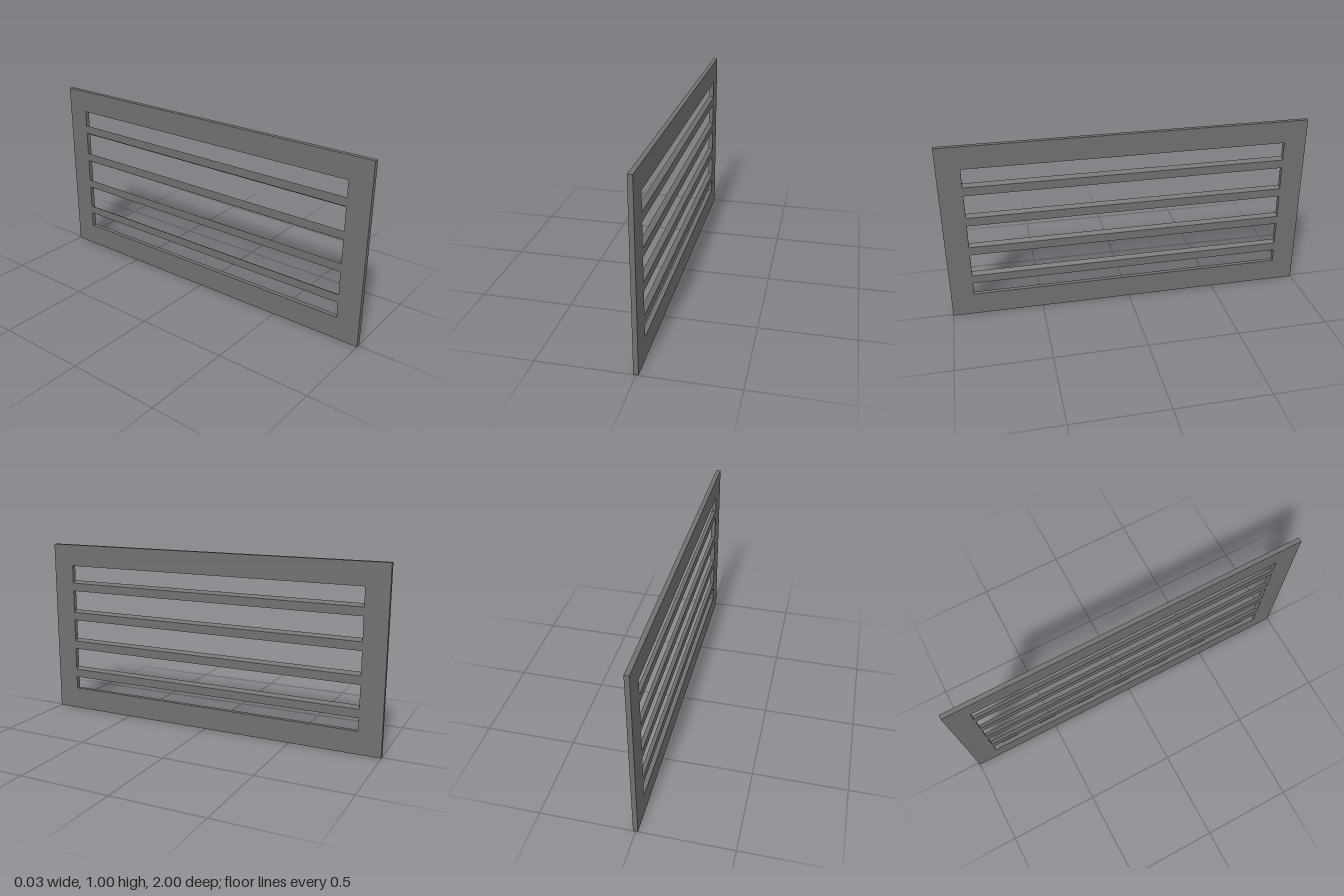
import * as THREE from 'three';

const T = 0.0125;        // half thickness in x
const OPEN_Z = 0.875;    // half width of the opening

export function createModel() {
  const group = new THREE.Group();
  const material = new THREE.MeshStandardMaterial({ color: 0x707070, flatShading: true });

  // flat rectangular frame, extruded then turned to face sideways
  const outline = new THREE.Shape([
    new THREE.Vector2(-1, 0), new THREE.Vector2(1, 0),
    new THREE.Vector2(1, 1), new THREE.Vector2(-1, 1),
  ]);
  outline.holes.push(new THREE.Path([
    new THREE.Vector2(-OPEN_Z, 0.125), new THREE.Vector2(-OPEN_Z, 0.876),
    new THREE.Vector2(OPEN_Z, 0.876), new THREE.Vector2(OPEN_Z, 0.125),
  ]));
  const frameGeometry = new THREE.ExtrudeGeometry(outline, { depth: 2 * T, bevelEnabled: false });
  frameGeometry.translate(0, 0, -T).rotateY(Math.PI / 2);
  const frame = new THREE.Mesh(frameGeometry, material);
  frame.name = 'frame';
  group.add(frame);

  // louvre slats: sheared section, sloping down towards +x, flush with the frame
  const height = 0.047, drop = 0.0145;
  const section = new THREE.Shape([
    new THREE.Vector2(-T, drop), new THREE.Vector2(T, 0),
    new THREE.Vector2(T, height), new THREE.Vector2(-T, height + drop),
  ]);
  const slatGeometry = new THREE.ExtrudeGeometry(section, { depth: 2 * OPEN_Z, bevelEnabled: false });
  slatGeometry.translate(0, 0, -OPEN_Z);
  for (let i = 0; i < 4; i++) {
    const slat = new THREE.Mesh(slatGeometry, material);
    slat.name = `slat${i + 1}`;
    slat.position.y = 0.197 + i * 0.1765;
    group.add(slat);
  }
  return group;
}
